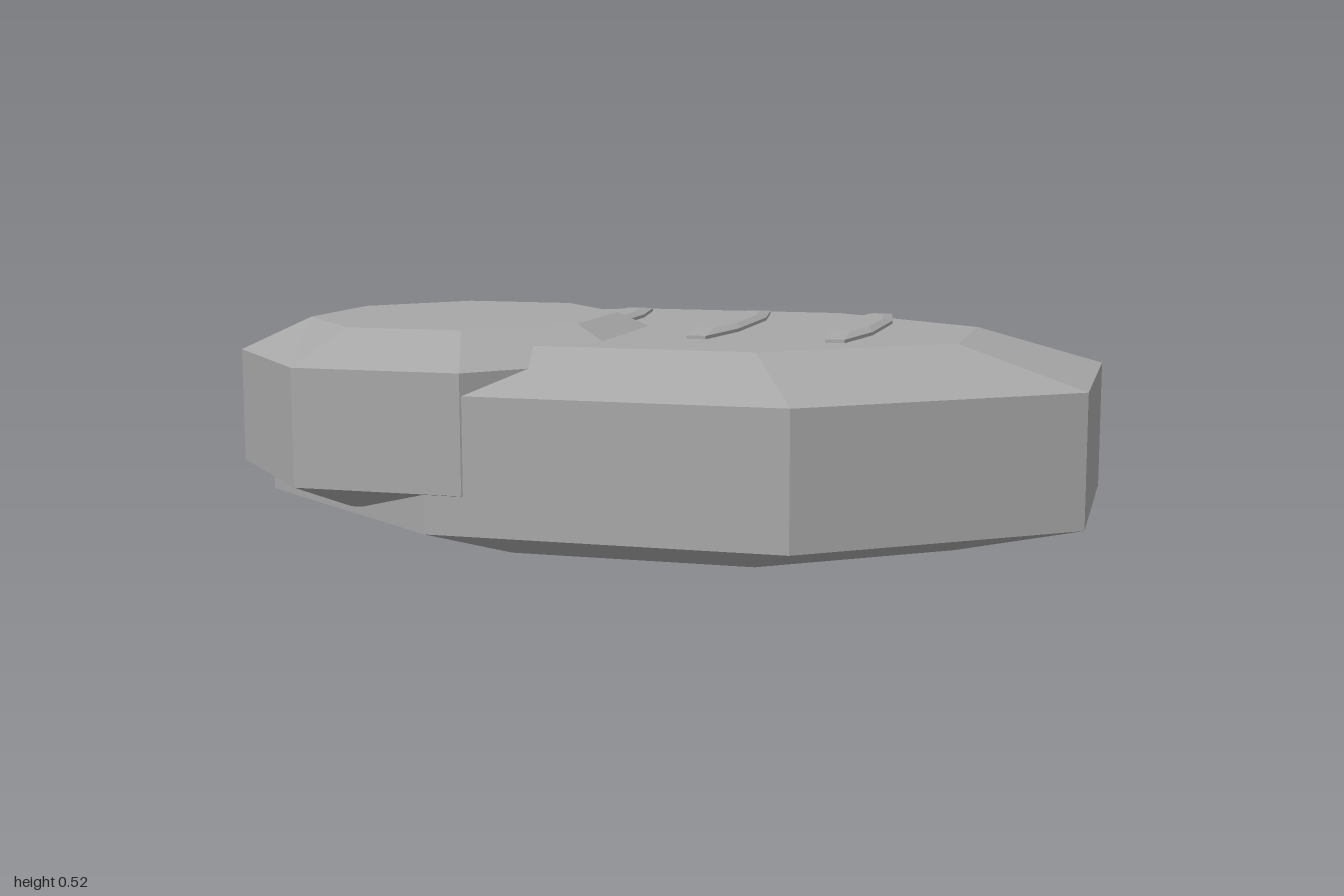
import * as THREE from 'three';

// Bevelled octagonal slab: outer and inner outlines are given by half width,
// half depth, and the half lengths of the edges running along x and z.
// Levels are bottom cap, lower rim, upper rim, top cap.
function octagonSlab(outer, inner, levels) {
  const ring = ([w, d, ex, ez], y) =>
    [[w, -ez], [w, ez], [ex, d], [-ex, d], [-w, ez], [-w, -ez], [-ex, -d], [ex, -d]]
      .map(([x, z]) => new THREE.Vector3(x, y, z));
  const rings = [inner, outer, outer, inner].map((outline, i) => ring(outline, levels[i]));
  const points = [];
  const bottom = new THREE.Vector3(0, levels[0], 0);
  const top = new THREE.Vector3(0, levels[3], 0);
  for (let i = 0; i < 8; i++) {
    const j = (i + 1) % 8;
    points.push(bottom, rings[0][i], rings[0][j]);
    points.push(top, rings[3][j], rings[3][i]);
    for (let r = 0; r < 3; r++) {
      const low = rings[r], high = rings[r + 1];
      points.push(low[i], high[i], high[j], low[i], high[j], low[j]);
    }
  }
  const geometry = new THREE.BufferGeometry().setFromPoints(points);
  geometry.computeVertexNormals();
  return geometry;
}

export function createModel() {
  const group = new THREE.Group();
  const stone = new THREE.MeshStandardMaterial({ color: 0xa6a6a6, flatShading: true });
  stone.name = 'stone grey';

  function add(name, geometry, x, z) {
    const mesh = new THREE.Mesh(geometry, stone);
    mesh.name = name;
    mesh.position.set(x, 0, z);
    group.add(mesh);
  }

  // Broad base slab
  add('mainSlab', octagonSlab(
    [0.99, 0.715, 0.41, 0.295], [0.69, 0.498, 0.286, 0.205], [0, 0.08, 0.39, 0.48]), 0.01, 0);

  // Smaller slab sunk into the front corner
  add('cornerSlab', octagonSlab(
    [0.49, 0.545, 0.2, 0.23], [0.34, 0.38, 0.14, 0.158], [0.1, 0.17, 0.44, 0.516]), -0.51, 0.173);

  // Three slim raised ridges across the top
  const ridge = octagonSlab(
    [0.055, 0.345, 0.023, 0.15], [0.038, 0.24, 0.016, 0.1], [0.464, 0.469, 0.488, 0.497]);
  [-0.23, 0.098, 0.426].forEach((x) => add('ridge', ridge, x, -0.085));

  return group;
}
